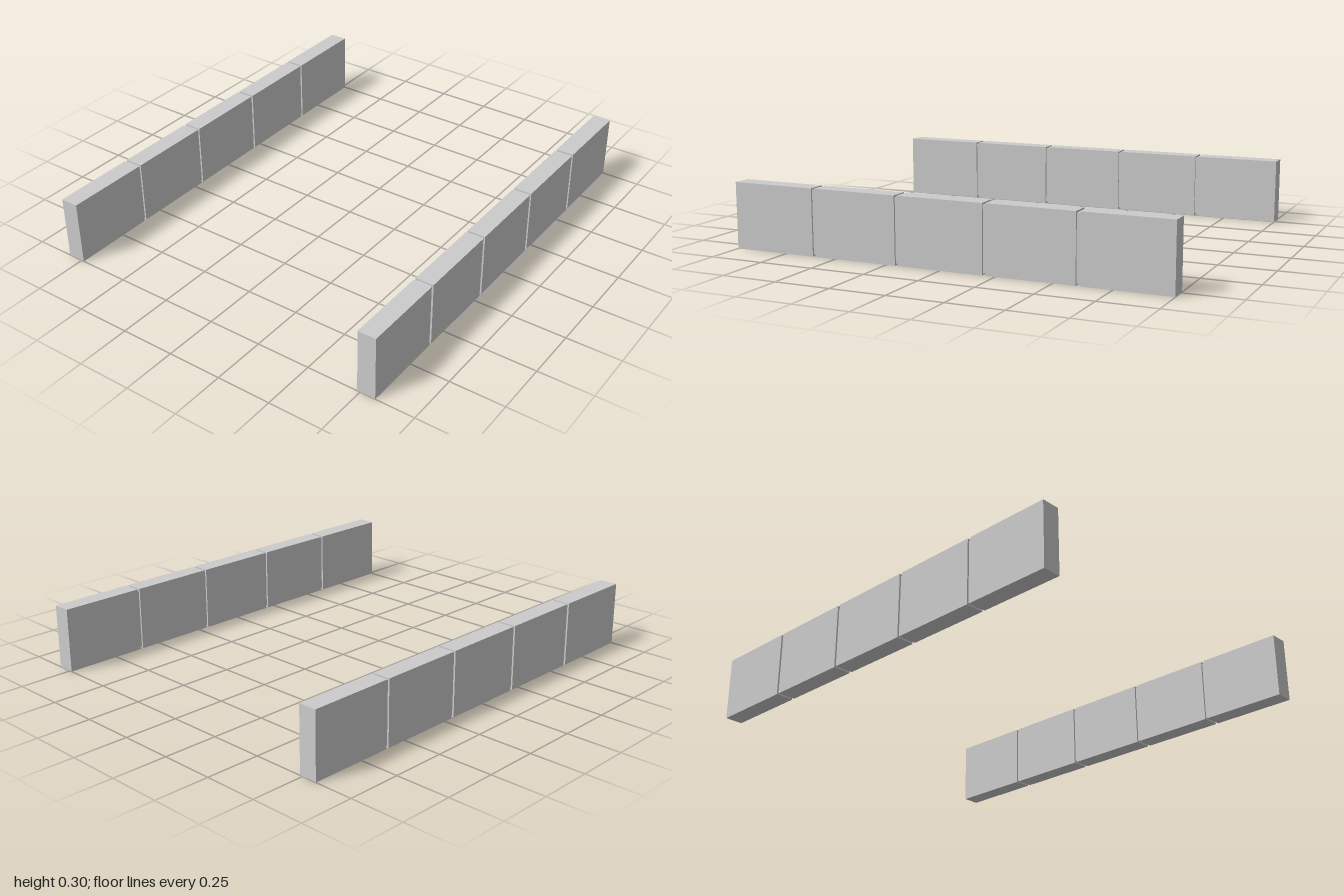
import * as THREE from 'three';

const HEIGHT = 0.296, WIDTH = 0.084, CENTER_X = 0.779;
const COUNT = 5, GAP = 0.014, INSET = 0.008;
const BLOCK = (2 - GAP * (COUNT - 1)) / COUNT;

export function createModel() {
  const model = new THREE.Group();
  const material = new THREE.MeshStandardMaterial({ color: 0xcccccc, flatShading: true });

  const addBox = (parent, name, w, h, d, z) => {
    const mesh = new THREE.Mesh(new THREE.BoxGeometry(w, h, d), material);
    mesh.name = name;
    mesh.position.set(0, HEIGHT / 2, z);
    parent.add(mesh);
  };

  for (const side of [1, -1]) {
    const wall = new THREE.Group();
    wall.name = side > 0 ? 'leftWall' : 'rightWall';
    wall.position.x = side * CENTER_X;

    // Row of blocks, joined by slightly recessed mortar strips
    for (let i = 0; i < COUNT; i++) {
      const z = -1 + BLOCK / 2 + i * (BLOCK + GAP);
      addBox(wall, `block${i + 1}`, WIDTH, HEIGHT, BLOCK, z);
      if (i < COUNT - 1) {
        addBox(wall, `joint${i + 1}`, WIDTH - 2 * INSET, HEIGHT - 2 * INSET, GAP, z + (BLOCK + GAP) / 2);
      }
    }
    model.add(wall);
  }
  return model;
}
